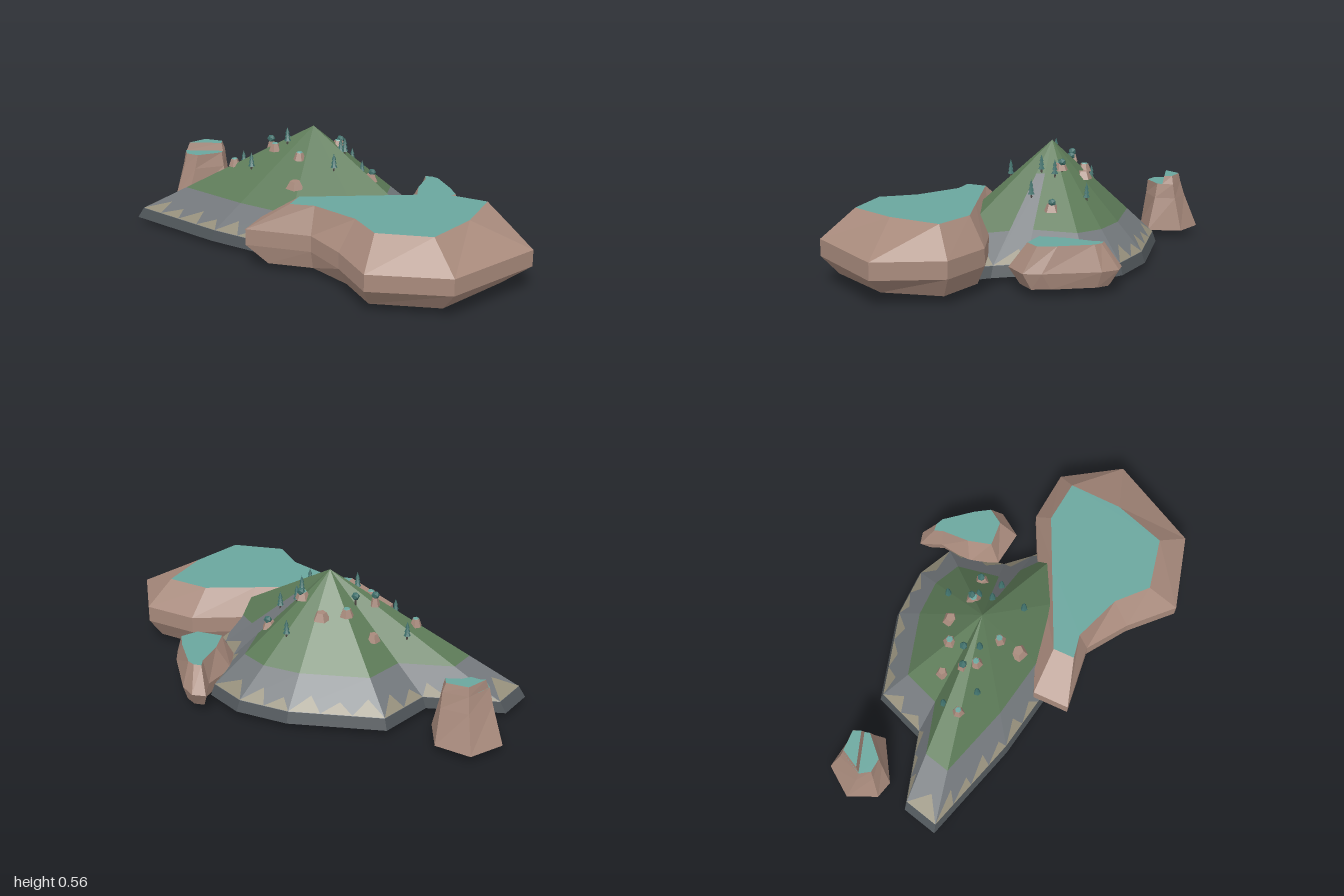
import * as THREE from 'three';

const mat = (color) => new THREE.MeshStandardMaterial({ color, flatShading: true, side: THREE.DoubleSide });
const M = {
  rock: mat(0xa88a7c), grass: mat(0x5c7a57), stone: mat(0x73787c), sand: mat(0x96907c),
  slate: mat(0x50565a), under: mat(0x3a3e41), teal: mat(0x6aa69e), leaf: mat(0x3f6f6a), trunk: mat(0x4a4440),
};

// Outlines as [x, z], counter-clockwise seen from above
const APEX = [-0.105, -0.11];
const PEAK = 0.555;
const RIM = [
  [-0.98, 0.05], [-0.5, 0.19], [-0.1, 0.26], [0.4, 0.3], [0.7, 0.09], [0.45, -0.11], [0.35, -0.22],
  [0.3, -0.5], [0.13, -0.58], [-0.11, -0.58], [-0.52, -0.46], [-0.61, -0.22], [-0.94, -0.12],
];
const MESA = [
  [-0.23, 0.2], [-0.23, 0.37], [0.07, 0.335], [0.25, 0.46], [0.43, 0.635],
  [0.78, 0.54], [1, 0.12], [0.83, -0.14], [0.58, -0.16], [0.34, -0.04],
];
const MESA_TOP = [
  [-0.04, 0.21], [-0.04, 0.31], [0.07, 0.29], [0.29, 0.37], [0.42, 0.49],
  [0.66, 0.44], [0.74, 0.2], [0.75, -0.05], [0.55, -0.07], [0.34, 0.03],
];
const CRAG = [
  [0.25, -0.63], [0.29, -0.53], [0.265, -0.37], [0.32, -0.24], [0.49, -0.22],
  [0.565, -0.33], [0.53, -0.4], [0.38, -0.6], [0.31, -0.645],
];
const CRAG_TOP = [
  [0.3, -0.57], [0.315, -0.53], [0.32, -0.4], [0.35, -0.29], [0.47, -0.3],
  [0.515, -0.37], [0.47, -0.44], [0.37, -0.56], [0.335, -0.575],
];
const PILLAR = [[-1, -0.385], [-0.94, -0.255], [-0.86, -0.235], [-0.68, -0.35], [-0.745, -0.5], [-0.905, -0.52]];
const PILLAR_TOP = [[-0.915, -0.335], [-0.885, -0.29], [-0.82, -0.285], [-0.73, -0.375], [-0.75, -0.45], [-0.86, -0.445]];

const ring = (pts, y) => pts.map(([x, z]) => [x, y, z]);
const mix = (a, b, t) => a.map((p, i) => [p[0] + (b[i][0] - p[0]) * t, p[1] + (b[i][1] - p[1]) * t]);

function facets(name, tris, material) {
  const g = new THREE.BufferGeometry();
  g.setAttribute('position', new THREE.Float32BufferAttribute(tris.flat(2), 3));
  g.computeVertexNormals();
  const m = new THREE.Mesh(g, material);
  m.name = name;
  return m;
}

const quad = (a, b, c, d) => [[a, b, c], [a, c, d]];

// Walls between successive rings
function walls(rings) {
  const out = [];
  for (let k = 0; k + 1 < rings.length; k++) {
    const lo = rings[k], hi = rings[k + 1];
    lo.forEach((p, i) => {
      const j = (i + 1) % lo.length;
      out.push(...quad(p, lo[j], hi[j], hi[i]));
    });
  }
  return out;
}

// Flat cover over an outline, facing up or down
function cap(r, up) {
  const faces = THREE.ShapeUtils.triangulateShape(r.map((p) => new THREE.Vector2(p[0], -p[2])), []);
  return faces.map(([a, b, c]) => {
    const [A, B, C] = [r[a], r[b], r[c]];
    const ny = (B[2] - A[2]) * (C[0] - A[0]) - (B[0] - A[0]) * (C[2] - A[2]);
    return (ny > 0) === up ? [A, B, C] : [A, C, B];
  });
}

// Rock body with a teal cover
function plateau(name, rings, baseMaterial = M.rock) {
  const g = new THREE.Group();
  g.name = name;
  g.add(
    facets(name + 'Sides', walls(rings), M.rock),
    facets(name + 'Base', cap(rings[0], false), baseMaterial),
    facets(name + 'Top', cap(rings[rings.length - 1], true), M.teal),
  );
  return g;
}

// Mountain surface: scale s of the rim around the apex, s = 1 at the rim
const S0 = 0.965, Y0 = 0.08;
const slopeY = (s) => PEAK - (PEAK - Y0) * (s / S0);
const slopeS = (y) => S0 * (PEAK - y) / (PEAK - Y0);
const at = (p, s, y) => [APEX[0] + (p[0] - APEX[0]) * s, y, APEX[1] + (p[1] - APEX[1]) * s];

function groundY(x, z) {
  const dx = x - APEX[0], dz = z - APEX[1];
  for (let i = 0; i < RIM.length; i++) {
    const a = RIM[i], b = RIM[(i + 1) % RIM.length];
    const ax = a[0] - APEX[0], az = a[1] - APEX[1], bx = b[0] - APEX[0], bz = b[1] - APEX[1];
    const d = ax * bz - az * bx;
    const u = (dx * bz - dz * bx) / d, v = (ax * dz - az * dx) / d;
    if (u >= 0 && v >= 0) return slopeY(u + v);
  }
  return 0;
}

function mountain() {
  const g = new THREE.Group();
  g.name = 'mountain';
  const stone = [], grass = [], sand = [], under = [];
  RIM.forEach((a, i) => {
    const b = RIM[(i + 1) % RIM.length];
    const line = i === 5 ? 0.42 : 0.205; // bare gully climbs higher
    const s = slopeS(line);
    stone.push(...quad(at(a, S0, Y0), at(b, S0, Y0), at(b, s, line), at(a, s, line)));
    grass.push([at(a, s, line), at(b, s, line), at(a, 0, PEAK)]);
    under.push([at(a, 0, 0), at(b, 1, 0.03), at(a, 1, 0.03)]);
    // Sand triangles along the shore
    const n = Math.max(1, Math.round(Math.hypot(b[0] - a[0], b[1] - a[1]) / 0.13));
    const along = (t) => [a[0] + (b[0] - a[0]) * t, a[1] + (b[1] - a[1]) * t];
    for (let k = 0; k < n; k++) {
      const y = k % 2 ? 0.12 : 0.135;
      sand.push([at(along(k / n), S0, Y0 + 0.002), at(along((k + 1) / n), S0, Y0 + 0.002),
        at(along((k + 0.65) / n), slopeS(y), y + 0.002)]);
    }
  });
  const edge = walls([RIM.map((p) => at(p, 1, 0.03)), RIM.map((p) => at(p, S0, Y0))]);
  g.add(facets('rim', edge, M.slate), facets('stoneSlope', stone, M.stone), facets('grassSlope', grass, M.grass),
    facets('shoreSand', sand, M.sand), facets('underside', under, M.under));
  return g;
}

function cone(rt, rb, h, y, material, sides = 6) {
  const m = new THREE.Mesh(new THREE.CylinderGeometry(rt, rb, h, sides), material);
  m.position.y = y + h / 2;
  return m;
}

function boulder(x, z, r, i) {
  const g = new THREE.Group();
  g.name = 'boulder';
  g.add(cone(r * 0.55, r, 0.035, -0.008, M.rock, 5 + (i % 2)));
  if (i % 2) g.add(cone(r * 0.42, r * 0.5, 0.003, 0.027, M.teal, 6));
  g.position.set(x, groundY(x, z), z);
  g.rotation.y = i * 1.3;
  return g;
}

function tree(x, z, kind) {
  const g = new THREE.Group();
  g.name = kind ? 'roundTree' : 'pineTree';
  g.add(cone(0.004, 0.005, 0.035, -0.01, M.trunk, 5));
  if (kind) {
    const crown = new THREE.Mesh(new THREE.IcosahedronGeometry(0.019, 0), M.leaf);
    crown.position.y = 0.04;
    g.add(crown);
  } else {
    for (let k = 0; k < 3; k++) g.add(cone(0, 0.016 - k * 0.003, 0.03, 0.012 + k * 0.018, M.leaf));
  }
  g.position.set(x, groundY(x, z), z);
  return g;
}

export function createModel() {
  const model = new THREE.Group();
  model.name = 'island';
  model.add(mountain());

  const low = mix(MESA, MESA_TOP, 0.5);
  model.add(plateau('mesa', [ring(low, 0.035), ring(MESA, 0.12), ring(MESA, 0.195), ring(MESA_TOP, 0.32)]));
  model.add(plateau('crag', [ring(mix(CRAG, CRAG_TOP, 0.6), 0.035), ring(CRAG, 0.105), ring(CRAG_TOP, 0.215)]));

  // Pillar with a raised rear step
  model.add(plateau('pillar', [ring(PILLAR, 0.04), ring(mix(PILLAR, PILLAR_TOP, 0.75), 0.2), ring(PILLAR_TOP, 0.27)], M.stone));
  const step = [[-0.912, -0.338], [-0.735, -0.4], [-0.75, -0.45], [-0.86, -0.445]];
  const stepTop = [[-0.9, -0.35], [-0.745, -0.405], [-0.76, -0.44], [-0.855, -0.437]];
  model.add(plateau('pillarStep', [ring(step, 0.27), ring(stepTop, 0.31)]));

  const boulders = [
    [-0.35, -0.2, 0.032], [-0.23, -0.215, 0.032], [-0.13, -0.26, 0.04], [-0.015, -0.2, 0.035], [0.135, -0.235, 0.036],
    [-0.28, -0.06, 0.03], [-0.12, 0.07, 0.045], [-0.135, -0.015, 0.03], [-0.32, -0.11, 0.024], [-0.49, -0.05, 0.028],
  ];
  boulders.forEach(([x, z, r], i) => model.add(boulder(x, z, r, i)));

  const trees = [
    [0, -0.34, 0], [-0.38, -0.01, 0], [-0.48, -0.13, 0], [-0.24, -0.14, 1], [0.05, 0.02, 0], [0.13, -0.13, 0],
    [0.025, -0.125, 0], [-0.01, -0.21, 1], [-0.22, -0.07, 0], [-0.32, -0.105, 1], [0.02, -0.19, 0], [0.14, -0.24, 1],
  ];
  trees.forEach((t) => model.add(tree(...t)));
  return model;
}
